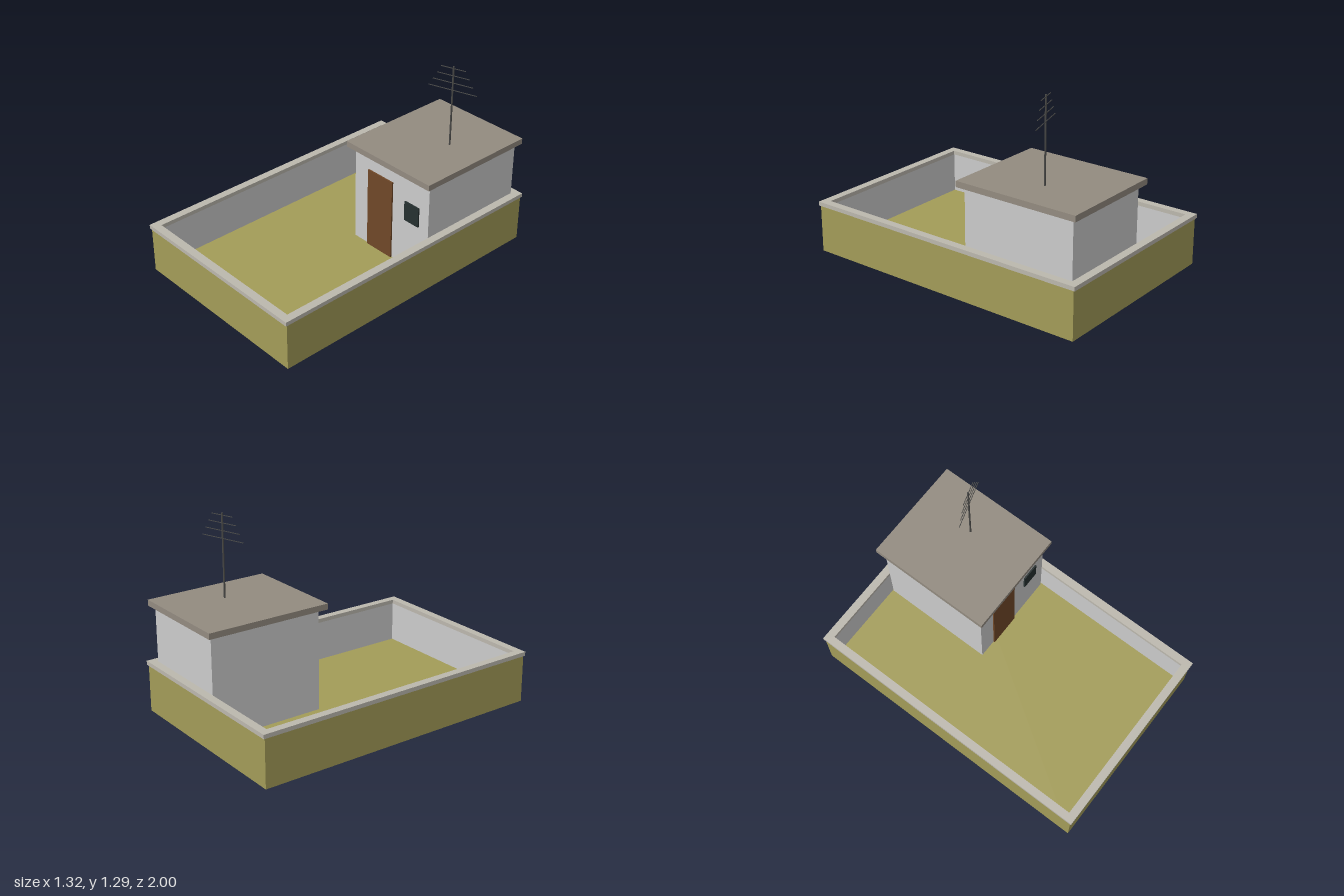
import * as THREE from 'three';

const mat = (color = 0xcccccc) => new THREE.MeshStandardMaterial({ color });
const olive = mat(0xa39c58), grey = mat(), stone = mat(0xbcb8ae), slate = mat(0x938b80);
const brown = mat(0x704828), dark = mat(0x263030), metal = mat(0x4a4a48), earth = mat(0x8a8276);

export function createModel() {
  const model = new THREE.Group();

  const add = (name, geometry, material, x = 0, y = 0, z = 0, parent = model) => {
    const mesh = new THREE.Mesh(geometry, material);
    mesh.name = name;
    mesh.position.set(x, y, z);
    parent.add(mesh);
    return mesh;
  };

  // Box given by its limits on each axis
  const block = (name, material, [x0, x1], [y0, y1], [z0, z1]) =>
    add(name, new THREE.BoxGeometry(x1 - x0, y1 - y0, z1 - z0), material,
      (x0 + x1) / 2, (y0 + y1) / 2, (z0 + z1) / 2);

  // Four upright panels around the centre, facing out or in
  const panels = (name, material, w, d, y0, y1, inward) => {
    for (let i = 0; i < 4; i++) {
      const [width, reach] = i % 2 ? [d, w / 2] : [w, d / 2];
      const a = i * Math.PI / 2;
      const p = add(name, new THREE.PlaneGeometry(width, y1 - y0), material,
        Math.sin(a) * reach, (y0 + y1) / 2, Math.cos(a) * reach);
      p.rotation.y = a + (inward ? Math.PI : 0);
    }
  };

  // Parapet: coloured outside, plain inside
  panels('outerWall', olive, 1.306, 1.98, 0, 0.32, false);
  panels('innerWall', grey, 1.23, 1.905, 0.04, 0.32, true);

  // Roof terrace floor and underside
  add('terraceFloor', new THREE.PlaneGeometry(1.306, 1.98).rotateX(-Math.PI / 2), olive, 0, 0.04, 0);
  add('underside', new THREE.PlaneGeometry(1.306, 1.98).rotateX(Math.PI / 2), earth);

  // Coping ring on top of the parapet
  const rect = (P, w, d) => new P([[-w, -d], [w, -d], [w, d], [-w, d]].map(([x, y]) => new THREE.Vector2(x, y)));
  const ring = rect(THREE.Shape, 0.659, 1);
  ring.holes.push(rect(THREE.Path, 0.607, 0.947));
  const coping = new THREE.ExtrudeGeometry(ring, { depth: 0.027, bevelEnabled: false });
  add('coping', coping.rotateX(-Math.PI / 2), stone, 0, 0.314, 0);

  // Stairwell hut
  block('hutWalls', grey, [-0.043, 0.607], [0.04, 0.71], [-0.947, -0.178]);
  block('hutRoof', slate, [-0.083, 0.637], [0.71, 0.749], [-0.98, -0.137]);
  block('door', brown, [0.08, 0.297], [0.04, 0.6], [-0.18, -0.168]);
  block('window', dark, [0.407, 0.528], [0.383, 0.519], [-0.18, -0.168]);

  // Aerial: mast with four shortening crossbars
  const aerial = new THREE.Group();
  aerial.name = 'aerial';
  aerial.position.set(0.38, 0, -0.585);
  aerial.rotation.y = 0.3;
  model.add(aerial);
  add('mast', new THREE.CylinderGeometry(0.006, 0.006, 0.545, 8), metal, 0, 1.02, 0, aerial);
  for (let i = 0; i < 4; i++) {
    add('crossbar', new THREE.BoxGeometry(0.325 - i * 0.053, 0.004, 0.004), metal, 0, 1.131 + i * 0.049, 0, aerial);
  }

  return model;
}
